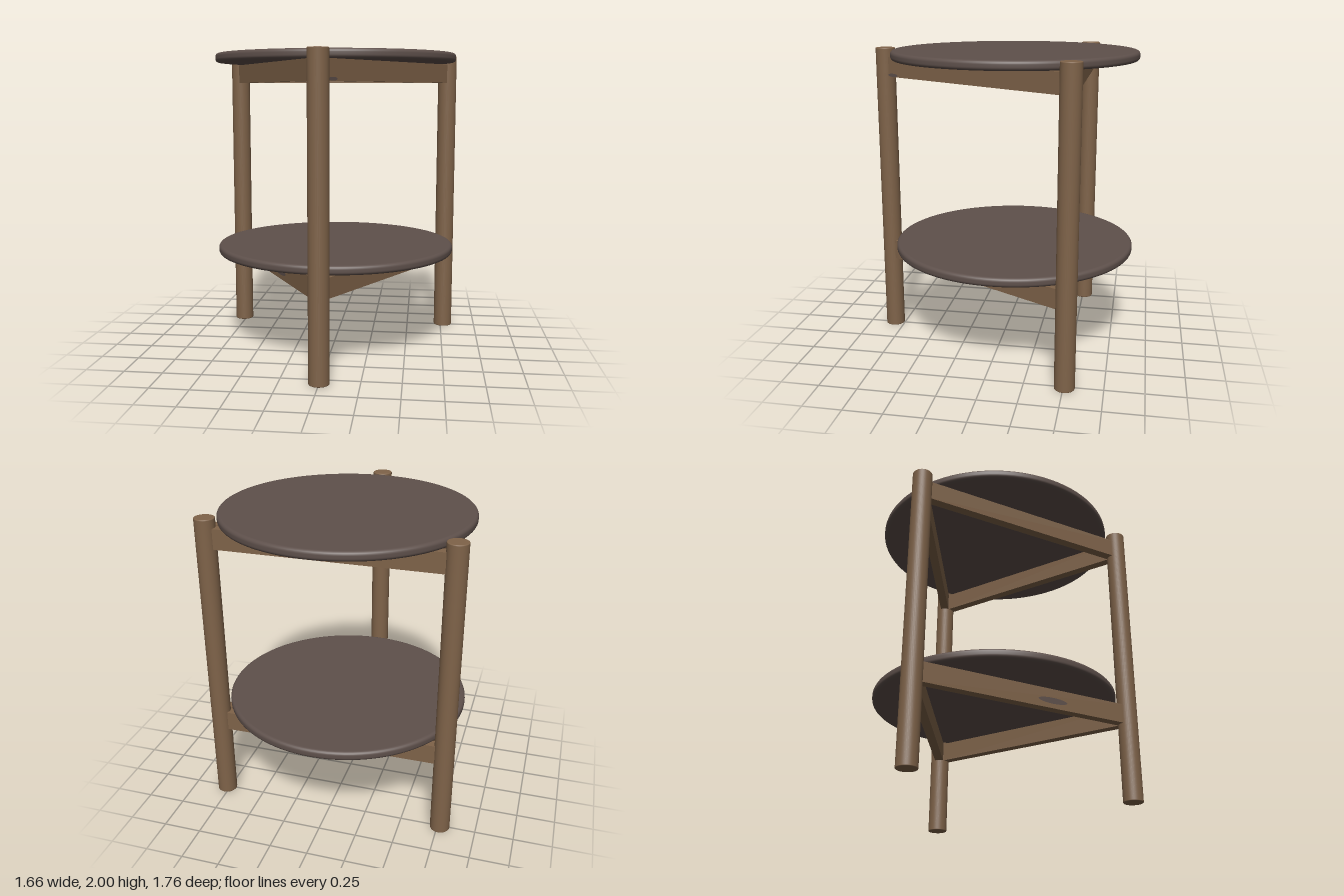
import * as THREE from 'three';

const wood = new THREE.MeshStandardMaterial({ color: 0x7f6349 });
wood.name = 'warm wood';
const dark = new THREE.MeshStandardMaterial({ color: 0x5e504b });
dark.name = 'dark brown';

const CENTRE_Z = -0.066;   // axis of the triangle of legs
const LEG_RING = 0.885;    // distance of the legs from that axis
const LEG_R = 0.065;
const RAIL_Z = -LEG_RING / 2;
const RAIL_LEN = LEG_RING * Math.sqrt(3);
const RAIL_H = 0.13, RAIL_T = 0.06;

function add(parent, name, geometry, material, x = 0, y = 0, z = 0) {
  const mesh = new THREE.Mesh(geometry, material);
  mesh.name = name;
  mesh.position.set(x, y, z);
  parent.add(mesh);
  return mesh;
}

// Solid of revolution from y = 0 to h with rounded rims; flat faces keep hard normals
function roundedDisc(radius, h, round, segments) {
  const shape = [new THREE.Vector2(0, 0), new THREE.Vector2(radius - round - 0.001, 0)];
  for (const [cy, start] of [[round, -Math.PI / 2], [h - round, 0]]) {
    for (let i = 0; i <= 5; i++) {
      const a = start + (i / 5) * Math.PI / 2;
      shape.push(new THREE.Vector2(radius - round + round * Math.cos(a), cy + round * Math.sin(a)));
    }
  }
  shape.push(new THREE.Vector2(radius - round - 0.001, h), new THREE.Vector2(0, h));
  return new THREE.LatheGeometry(shape, segments);
}

export function createModel() {
  const model = new THREE.Group();
  model.name = 'sideTable';
  const table = new THREE.Group();
  table.name = 'table';
  table.position.z = CENTRE_Z;
  model.add(table);

  // Round top and lower shelf
  const disc = roundedDisc(0.81, 0.06, 0.022, 96);
  add(table, 'tableTop', disc, dark, 0, 1.94, 0);
  add(table, 'lowerShelf', disc, dark, 0, 0.65, 0);

  // Three round legs, each with the rails that close the triangle
  const leg = roundedDisc(LEG_R, 2, 0.006, 40);
  const rail = new THREE.BoxGeometry(RAIL_LEN, RAIL_H, RAIL_T);
  const sides = [];
  for (let i = 0; i < 3; i++) {
    const side = new THREE.Group();
    side.name = 'side' + (i + 1);
    side.rotation.y = i * Math.PI * 2 / 3;
    table.add(side);
    sides.push(side);
    add(side, 'leg', leg, wood, RAIL_LEN / 2, 0, RAIL_Z);
    add(side, 'upperRail', rail, wood, 0, 1.875, RAIL_Z);
    add(side, 'lowerRail', rail, wood, 0, 0.585, RAIL_Z);
  }

  // Dark wood knots on the outer rail faces: side, x, y, width, height
  const knots = [
    [0, -0.24, 1.875, 0.18, 0.035],
    [1, -0.17, 0.57, 0.21, 0.04],
    [2, 0.665, 1.822, 0.09, 0.022],
  ];
  const oval = new THREE.CircleGeometry(0.5, 24).rotateY(Math.PI);
  for (const [side, x, y, w, h] of knots) {
    add(sides[side], 'knot', oval, dark, x, y, RAIL_Z - RAIL_T / 2 - 0.002).scale.set(w, h, 1);
  }
  return model;
}
